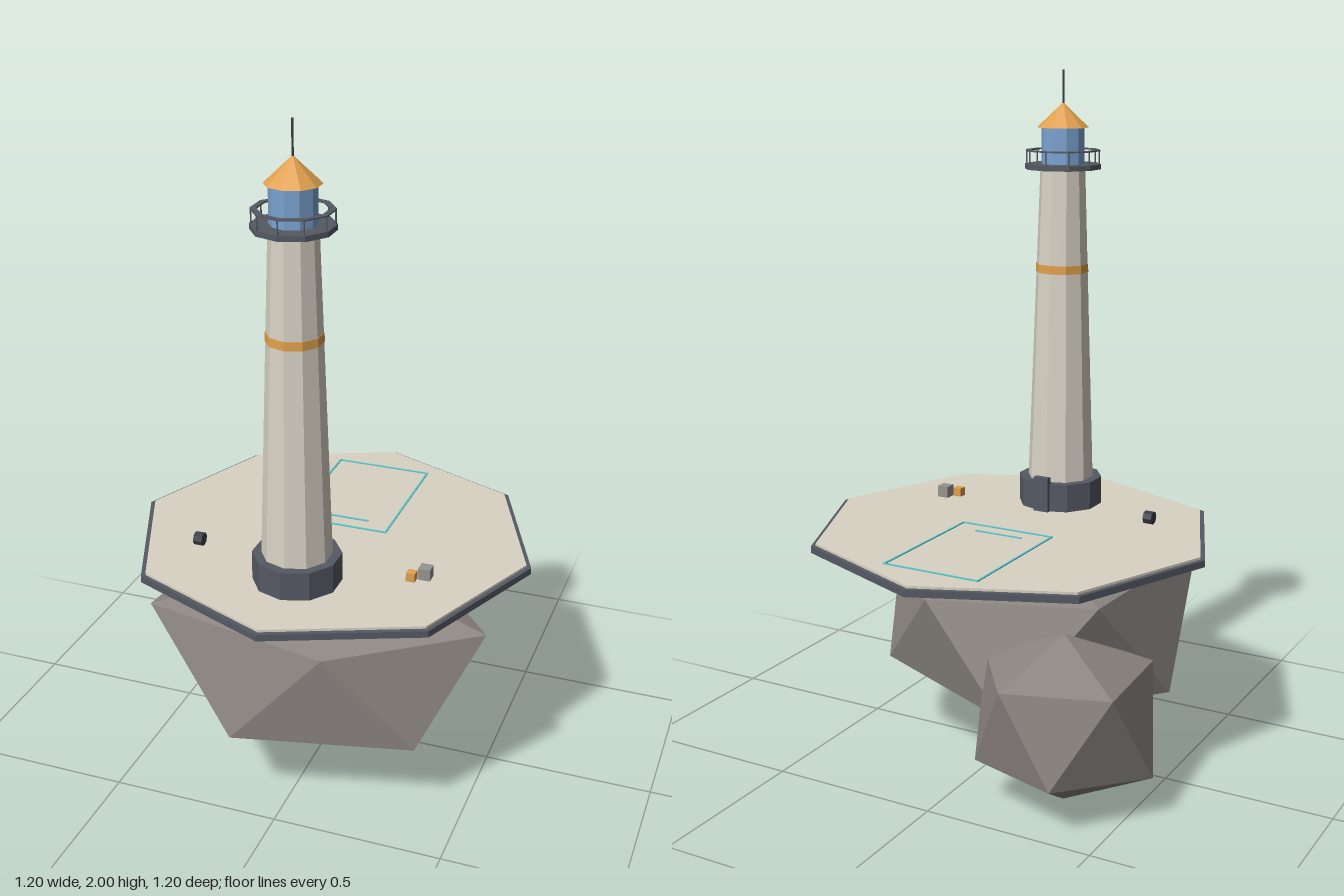
import * as THREE from 'three';

const mat = (name, color) => {
  const m = new THREE.MeshStandardMaterial({ color });
  m.name = name;
  return m;
};

export function createModel() {
  const cream = mat('cream', 0xd9d3c5);
  const slate = mat('slate', 0x555963);
  const charcoal = mat('charcoal', 0x3a3d44);
  const orange = mat('orange', 0xe0a04e);
  const blue = mat('glass blue', 0x7ba3d0);
  const rockGrey = mat('rock grey', 0x8a8480);
  const crateGrey = mat('crate grey', 0x96948f);
  const teal = mat('teal', 0x5cc8cc);

  const model = new THREE.Group();
  model.name = 'lighthouseIsland';

  // Adds a faceted mesh
  const add = (parent, name, geometry, material, x = 0, y = 0, z = 0) => {
    const flat = geometry.index ? geometry.toNonIndexed() : geometry;
    flat.computeVertexNormals();
    const mesh = new THREE.Mesh(flat, material);
    mesh.name = name;
    mesh.position.set(x, y, z);
    parent.add(mesh);
    return mesh;
  };
  // Prism or cone standing between two heights
  const drum = (parent, name, rTop, rBottom, y0, y1, sides, material, x = 0, z = 0) =>
    add(parent, name, new THREE.CylinderGeometry(rTop, rBottom, y1 - y0, sides), material, x, (y0 + y1) / 2, z);
  // Box standing at height y0
  const box = (name, w, h, d, material, x, y0, z) =>
    add(model, name, new THREE.BoxGeometry(w, h, d), material, x, y0 + h / 2, z);

  // Irregular twenty-sided rock: two rings of five [degrees, radius, height] between two tips
  const rock = (name, cx, cz, topY, bottomY, upper, lower) => {
    const ring = (list) => list.map(([deg, r, y]) => {
      const a = THREE.MathUtils.degToRad(deg);
      return [cx + r * Math.cos(a), y, cz + r * Math.sin(a)];
    });
    const U = ring(upper), L = ring(lower);
    const T = [cx, topY, cz], B = [cx, bottomY, cz];
    const p = [];
    for (let i = 0; i < 5; i++) {
      const j = (i + 1) % 5;
      p.push(T, U[j], U[i], U[i], U[j], L[i], L[i], U[j], L[j], L[i], L[j], B);
    }
    const g = new THREE.BufferGeometry();
    g.setAttribute('position', new THREE.Float32BufferAttribute(p.flat(), 3));
    add(model, name, g, rockGrey);
  };
  rock('mainRock', 0, 0.085, 0.668, 0.087,
    [[16, 0.56, 0.59], [71, 0.368, 0.528], [144, 0.517, 0.58], [216, 0.45, 0.56], [288, 0.405, 0.54]],
    [[36, 0.46, 0.24], [108.7, 0.428, 0.25], [180, 0.47, 0.235], [252, 0.43, 0.24], [324, 0.42, 0.277]]);
  rock('smallRock', -0.297, -0.253, 0.5, 0.005,
    [[0, 0.25, 0.4], [72, 0.25, 0.4], [144, 0.25, 0.41], [216, 0.277, 0.41], [288, 0.25, 0.4]],
    [[36, 0.25, 0.14], [108, 0.25, 0.14], [180, 0.273, 0.135], [252, 0.256, 0.15], [324, 0.25, 0.14]]);

  // Octagonal platform
  drum(model, 'platformSlab', 0.602, 0.602, 0.668, 0.688, 8, slate);
  drum(model, 'platformTop', 0.588, 0.588, 0.688, 0.695, 8, cream);

  // Tower
  const tower = new THREE.Group();
  tower.name = 'tower';
  tower.position.z = 0.296;
  model.add(tower);
  drum(tower, 'towerBase', 0.127, 0.127, 0.695, 0.78, 10, slate);
  drum(tower, 'towerShaft', 0.067, 0.1, 0.78, 1.715, 10, cream);
  drum(tower, 'towerBand', 0.0785, 0.0795, 1.411, 1.436, 10, orange);
  drum(tower, 'galleryFloor', 0.1135, 0.1135, 1.715, 1.73, 10, slate);
  drum(tower, 'lantern', 0.064, 0.064, 1.73, 1.838, 10, blue);
  drum(tower, 'roof', 0, 0.077, 1.835, 1.907, 10, orange);
  drum(tower, 'spire', 0.003, 0.003, 1.895, 2, 6, charcoal);

  // Gallery railing
  const rail = [[0.094, 0], [0.111, 0], [0.111, 0.004], [0.094, 0.004], [0.094, 0]]
    .map(([r, y]) => new THREE.Vector2(r, y));
  add(tower, 'galleryRail', new THREE.LatheGeometry(rail, 10), slate, 0, 1.767, 0);
  for (let i = 0; i < 10; i++) {
    const a = (i / 10) * Math.PI * 2;
    drum(tower, 'railPost', 0.0025, 0.0025, 1.73, 1.768, 5, slate, 0.108 * Math.sin(a), 0.108 * Math.cos(a));
  }

  // Door at the back of the tower base
  box('door', 0.048, 0.106, 0.018, slate, 0, 0.695, 0.173);

  // Painted outline on the platform
  const y = 0.695, t = 0.006, h = 0.003;
  for (const s of [-1, 1]) {
    box('markingSide', t, h, 0.426, teal, s * 0.147, y, -0.2575);
    box('markingEnd', 0.3, h, t, teal, 0, y, -0.2575 + s * 0.2125);
  }
  box('markingBar', 0.15, h, t, teal, 0, y, -0.097);

  // Cargo
  box('orangeCrate', 0.026, 0.026, 0.026, orange, 0.304, y, 0.193);
  box('greyCrate', 0.035, 0.035, 0.035, crateGrey, 0.338, y, 0.168);
  const barrel = add(model, 'barrel', new THREE.CylinderGeometry(0.02, 0.02, 0.027, 8), charcoal, -0.34, 0.715, 0.209);
  barrel.rotation.z = Math.PI / 2;

  return model;
}
